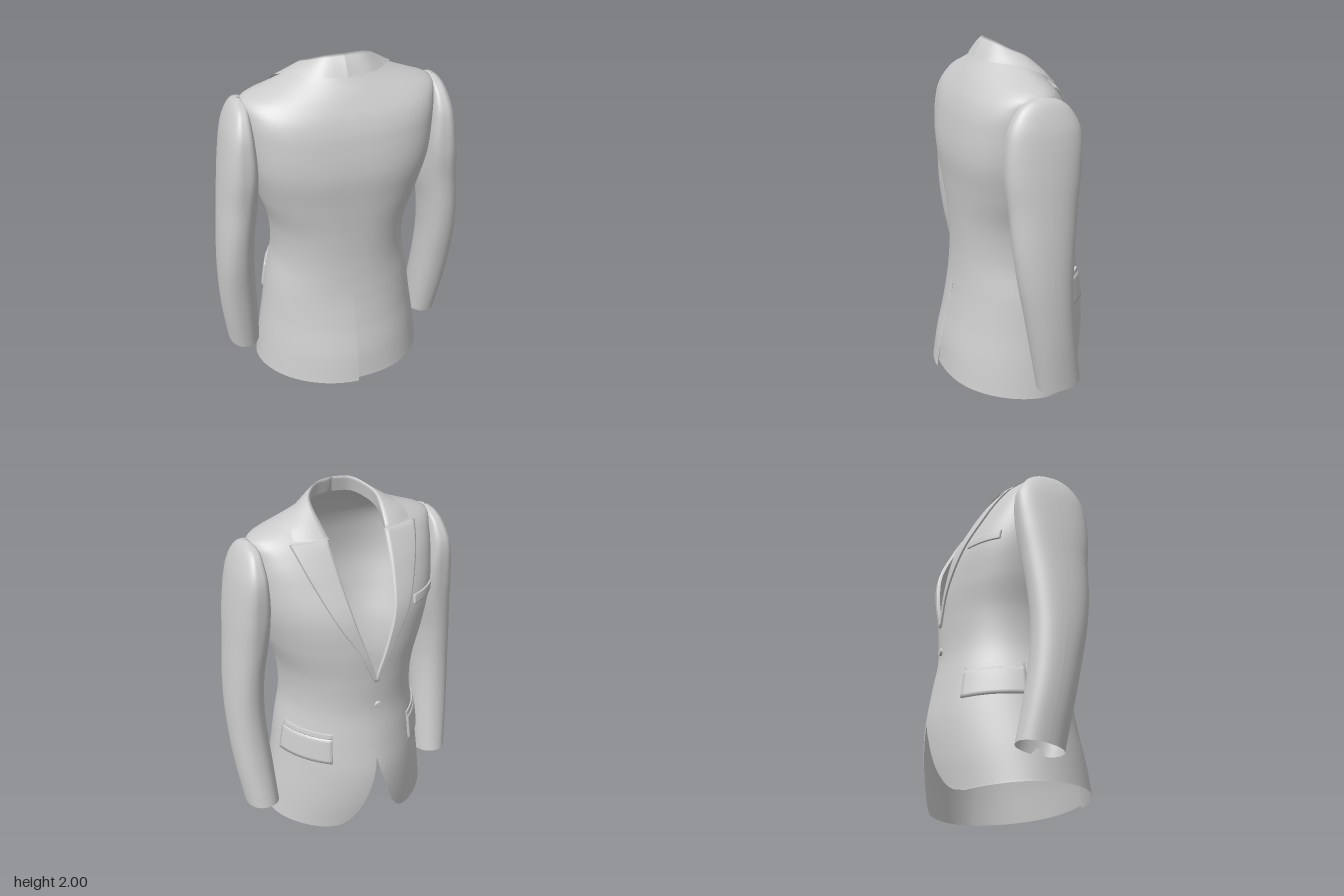
import * as THREE from 'three';

const material = new THREE.MeshStandardMaterial({ color: 0xcccccc, side: THREE.DoubleSide });

// Smooth lookup in a table of rows [key, a, b, ...]
function lookup(rows, key) {
  const last = rows.length - 1;
  const k = Math.min(Math.max(key, rows[0][0]), rows[last][0]);
  let i = 0;
  while (i < last - 1 && k > rows[i + 1][0]) i++;
  const slope = (j, c) => {
    const p = rows[Math.max(j - 1, 0)], q = rows[Math.min(j + 1, last)];
    return (q[c] - p[c]) / (q[0] - p[0]);
  };
  const A = rows[i], B = rows[i + 1], h = B[0] - A[0], t = (k - A[0]) / h;
  const t2 = t * t, t3 = t2 * t;
  return A.map((a, c) => (2 * t3 - 3 * t2 + 1) * a + (t3 - 2 * t2 + t) * h * slope(i, c)
    + (3 * t2 - 2 * t3) * B[c] + (t3 - t2) * h * slope(i + 1, c)).slice(1);
}

// Smooth grid mesh from fn(u, v) -> [x, y, z]
function sheet(name, nu, nv, fn, flip = false) {
  const pos = [], idx = [];
  for (let j = 0; j <= nv; j++)
    for (let i = 0; i <= nu; i++) pos.push(...fn(i / nu, j / nv));
  for (let j = 0; j < nv; j++) for (let i = 0; i < nu; i++) {
    const a = j * (nu + 1) + i, b = a + 1, c = a + nu + 1, d = c + 1;
    if (flip) idx.push(a, c, b, b, c, d);
    else idx.push(a, b, c, b, d, c);
  }
  const g = new THREE.BufferGeometry();
  g.setAttribute('position', new THREE.Float32BufferAttribute(pos, 3));
  g.setIndex(idx);
  g.computeVertexNormals();
  const mesh = new THREE.Mesh(g, material);
  mesh.name = name;
  return mesh;
}

// Torso sections: height, half width, back z, chest z, middle z, back roundness, chest roundness
const torso = [
  [0, 0.51, 0.458, -0.41, 0, 1.9, 1.82],
  [0.2, 0.485, 0.43, -0.445, 0, 1.92, 1.77],
  [0.4, 0.455, 0.385, -0.452, 0, 1.98, 1.77],
  [0.6, 0.425, 0.345, -0.42, 0, 2.1, 1.86],
  [0.8, 0.385, 0.33, -0.385, 0, 2.2, 2],
  [1.0, 0.395, 0.335, -0.385, 0, 2.3, 2.05],
  [1.2, 0.455, 0.35, -0.388, 0, 2.5, 2.1],
  [1.4, 0.5, 0.365, -0.36, 0.01, 2.75, 2.3],
  [1.6, 0.515, 0.34, -0.265, 0.02, 2.95, 2.6],
  [1.7, 0.52, 0.31, -0.207, 0.03, 2.85, 2.6],
  [1.78, 0.52, 0.27, -0.158, 0.03, 2.15, 2.1],
  [1.83, 0.4, 0.24, -0.12, 0.03, 2, 2],
  [1.87, 0.3, 0.21, -0.085, 0.03, 2, 2],
  [1.9, 0.24, 0.19, -0.05, 0.03, 2, 2],
];
// Opening edge: cutaway below the button, roll line above it
const opening = [[0, 0.28], [0.02, 0.21], [0.08, 0.145], [0.2, 0.082], [0.4, 0.025], [0.6, 0.002], [0.75, 0],
  [1.0, 0], [1.2, 0.06], [1.38, 0.115], [1.55, 0.145], [1.81, 0.172], [1.9, 0.185]];
const lapelEdge = [[1.0, 0.012], [1.2, 0.1], [1.38, 0.205], [1.6, 0.3], [1.78, 0.36]];

// Angle on the torso (0 chest centre, PI back centre) where the chest has a given x
function angleAt(x, y) {
  const [w, , , , , n] = lookup(torso, y);
  return Math.asin(Math.sign(x) * Math.min(1, Math.abs(x) / w) ** (n / 2));
}

// Point on the torso, pushed out by d
function body(t, y, d, side) {
  const [w, back, chest, mid, nBack, nChest] = lookup(torso, y);
  const s = Math.sin(t), c = Math.cos(t), p = 2 / (c > 0 ? nChest : nBack);
  const x = Math.sign(s) * (w + d) * Math.abs(s) ** p;
  let z = mid + (c > 0 ? chest - mid - d : back - mid + d) * Math.abs(c) ** p;
  // lower flap of the back vent
  if (side > 0 && c < 0 && y < 0.6) z -= 0.03 * (1 - y / 0.6) * c ** 8;
  const hem = (0.02 + 0.066 * z) * Math.max(0, 1 - y / 0.4);
  return [side * x, y + hem, z];
}

// Raised patch following the torso, its rim folded down to the cloth
function patch(name, side, range, height, lift, nu = 20, nv = 10) {
  return sheet(name, nu, nv, (u, v) => {
    const rim = u === 0 || u === 1 || v === 0 || v === 1;
    const stretch = (s, n) => Math.min(1, Math.max(0, (s * n - 1) / (n - 2)));
    const y = THREE.MathUtils.lerp(height[0], height[1], stretch(v, nv));
    const [a, b] = range(y);
    return body(THREE.MathUtils.lerp(a, b, stretch(u, nu)), y, rim ? 0 : lift, side);
  }, side < 0);
}

// Sleeve sections: height, inner x, outer x, chest-side z, back-side z
const sleeveRows = [
  [0.155, 0.487, 0.675, -0.19, 0.06],
  [0.4, 0.495, 0.705, -0.15, 0.11],
  [0.6, 0.505, 0.718, -0.125, 0.15],
  [0.8, 0.51, 0.72, -0.115, 0.19],
  [1.0, 0.5, 0.71, -0.125, 0.217],
  [1.2, 0.475, 0.692, -0.145, 0.23],
  [1.4, 0.478, 0.672, -0.165, 0.247],
  [1.6, 0.49, 0.64, -0.168, 0.23],
  [1.7, 0.5, 0.608, -0.125, 0.185],
  [1.76, 0.51, 0.575, -0.06, 0.12],
  [1.782, 0.535, 0.545, 0.025, 0.035],
];
function sleeve(side) {
  return sheet('sleeve', 48, 60, (u, v) => {
    const y = 0.155 + 1.627 * (1 - (1 - v) ** 1.5);
    const [x0, x1, z0, z1] = lookup(sleeveRows, y);
    const a = u * Math.PI * 2, c = Math.cos(a), s = Math.sin(a);
    // flatter on the inside towards the armhole
    const p = c < 0 ? 0.92 - 0.47 * THREE.MathUtils.smoothstep(y, 1.1, 1.5) : 0.92;
    const x = (x0 + x1) / 2 + (x1 - x0) / 2 * Math.sign(c) * Math.abs(c) ** p;
    const dz = (z1 - z0) / 2 * Math.sign(s) * Math.abs(s) ** p;
    const tilt = -0.14 * dz * Math.max(0, 1 - (y - 0.155) / 0.5);
    return [side * x, y + tilt, (z0 + z1) / 2 + dz];
  }, side > 0);
}

// Collar: fold line and outer edge, from back centre to the notch
const path = (pts) => new THREE.CatmullRomCurve3(pts.map((p) => new THREE.Vector3(...p)));
const fold = path([[0, 2, 0.13], [0.1, 1.992, 0.112], [0.165, 1.96, 0.055], [0.19, 1.925, -0.02],
  [0.183, 1.86, -0.1], [0.168, 1.788, -0.17]]);
const rim = path([[0, 1.895, 0.205], [0.14, 1.897, 0.178], [0.23, 1.893, 0.105], [0.293, 1.878, 0.02],
  [0.332, 1.84, -0.066], [0.345, 1.79, -0.115]]);
function collar(side) {
  return sheet('collar', 30, 10, (u, v) => {
    const f = fold.getPoint(u), r = rim.getPoint(u);
    if (v < 0.35) { // stand inside the neck
      const k = 1 - v / 0.4;
      return [side * (f.x + 0.012 * k), f.y - 0.09 * k, f.z + 0.02 * k * (1 - u)];
    }
    const p = f.lerp(r, (v - 0.4) / 0.6);
    const bulge = 0.012 * Math.sin(Math.PI * (v - 0.4) / 0.6);
    return [side * p.x, p.y + bulge * (1 - u), p.z - bulge * u];
  }, side > 0);
}

export function createModel() {
  const jacket = new THREE.Group();
  jacket.name = 'jacket';

  for (const side of [1, -1]) {
    // Half of the torso; one half laps over the other at the button and the back vent
    const lap = side < 0 ? 0.008 : 0;
    jacket.add(sheet('torsoPanel', 60, 100, (u, v) => {
      const y = v < 0.1 ? 8 * v * v : 0.08 + (v - 0.1) / 0.9 * 1.82;
      const overlap = lap && y > 0.3 && y < 1.05 ? 0.03 * Math.sin((y - 0.3) / 0.75 * Math.PI) : 0;
      const t0 = angleAt(lookup(opening, y)[0] - overlap, y);
      const vent = side > 0 ? 0.15 * Math.min(1, Math.max(0, (0.55 - y) * 5)) : 0;
      return body(t0 + (Math.PI + vent - t0) * u, y, lap * (1 - u), side);
    }, side < 0));

    // Peak lapel
    jacket.add(patch('lapel', side,
      (y) => [angleAt(lookup(opening, y)[0], y), angleAt(lookup(lapelEdge, y)[0], y)],
      [1.0, 1.778], 0.018, 16, 40));
    jacket.add(collar(side), sleeve(side));

    // Hip pocket: flap under a narrow welt
    jacket.add(patch('pocketFlap', side, () => [0.63, 1.4], [0.49, 0.645], 0.018));
    jacket.add(patch('pocketWelt', side, () => [0.63, 1.4], [0.645, 0.672], 0.013));
  }

  // Breast pocket
  jacket.add(patch('breastPocket', -1, () => [0.48, 1.0], [1.385, 1.435], 0.014));

  // Button
  const button = new THREE.Mesh(new THREE.CylinderGeometry(0.019, 0.021, 0.014, 24), material);
  button.name = 'button';
  button.rotation.x = -Math.PI / 2;
  button.position.set(-0.015, 0.84, -0.398);
  jacket.add(button);

  return jacket;
}
